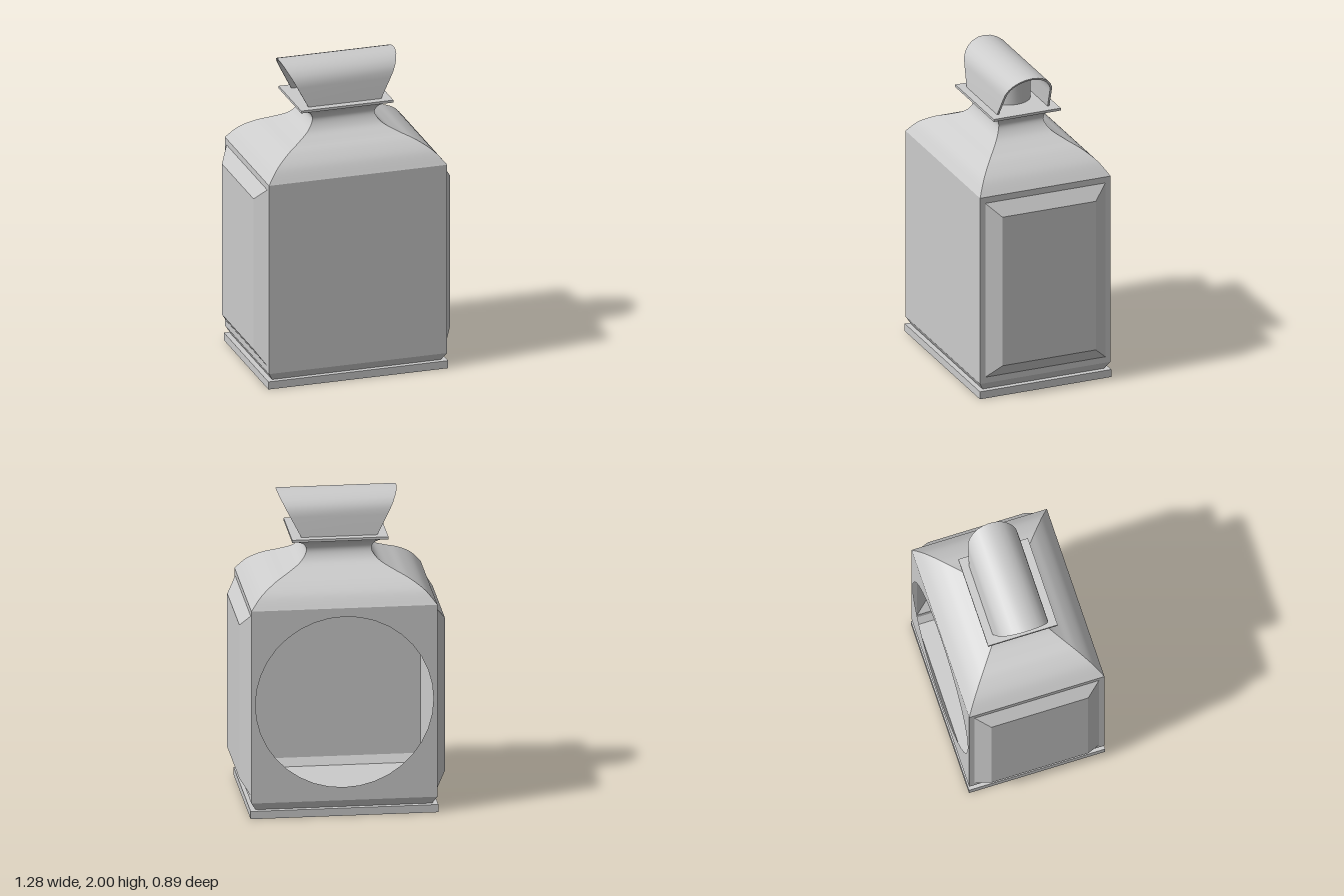
import * as THREE from 'three';
import { toCreasedNormals } from 'three/addons/utils/BufferGeometryUtils.js';

const material = new THREE.MeshStandardMaterial({ color: 0xcccccc, side: THREE.DoubleSide });

function add(parent, name, geometry, x = 0, y = 0, z = 0) {
  const mesh = new THREE.Mesh(geometry, material);
  mesh.name = name;
  mesh.position.set(x, y, z);
  parent.add(mesh);
  return mesh;
}

// Four mitred walls through rectangular sections [halfX, y, halfZ]; smooth upwards, sharp at corners
function shell(sections) {
  const corners = [[-1, 1], [1, 1], [1, -1], [-1, -1]];
  const positions = [], index = [];
  for (let s = 0; s < 4; s++) {
    const a = corners[s], b = corners[(s + 1) % 4], start = positions.length / 3;
    sections.forEach(([hx, y, hz], j) => {
      positions.push(a[0] * hx, y, a[1] * hz, b[0] * hx, y, b[1] * hz);
      if (j === 0) return;
      const k = start + 2 * (j - 1);
      index.push(k, k + 1, k + 3, k, k + 3, k + 2);
    });
  }
  const geometry = new THREE.BufferGeometry();
  geometry.setAttribute('position', new THREE.Float32BufferAttribute(positions, 3));
  geometry.setIndex(index);
  geometry.computeVertexNormals();
  return geometry;
}

const bodyZ = (x) => 0.44 + 0.768 * (x - 0.58);

function rectangle(Type, hx, y0, y1) {
  const p = new Type();
  p.moveTo(-hx, y0);
  p.lineTo(hx, y0);
  p.lineTo(hx, y1);
  p.lineTo(-hx, y1);
  p.closePath();
  return p;
}

// Arched strap in the z-y plane, flaring along x towards its crown
function handleGeometry() {
  const outer = [], inner = [];
  const arch = (list, leg, rx, ry) => {
    list.push(new THREE.Vector2(leg, 1.73));
    for (let i = 0; i <= 12; i++) {
      const t = (Math.PI * i) / 12;
      list.push(new THREE.Vector2(rx * Math.cos(t), 1.86 + ry * Math.sin(t)));
    }
    list.push(new THREE.Vector2(-leg, 1.73));
  };
  arch(outer, 0.177, 0.163, 0.14);
  arch(inner, 0.164, 0.15, 0.127);
  const shape = new THREE.Shape([...outer, ...inner.reverse()]);
  const geometry = new THREE.ExtrudeGeometry(shape, { depth: 2, bevelEnabled: false });
  geometry.translate(0, 0, -1);
  geometry.rotateY(Math.PI / 2);
  const p = geometry.attributes.position;
  for (let i = 0; i < p.count; i++) {
    p.setX(i, p.getX(i) * (0.235 + 0.52 * (p.getY(i) - 1.73)));
  }
  return toCreasedNormals(geometry, 0.7);
}

export function createModel() {
  const model = new THREE.Group();
  model.name = 'lantern';

  // Base plate and chamfered foot
  add(model, 'basePlate', new THREE.BoxGeometry(1.17, 0.05, 0.886), 0, 0.025);
  add(model, 'foot', shell([[0.55, 0.05, 0.41], [0.58, 0.1, 0.44]]));

  // Front wall, and back wall with its round opening
  const wall = rectangle(THREE.Shape, 0.58, 0.1, 1.35);
  add(model, 'frontWall', new THREE.ShapeGeometry(wall), 0, 0, 0.44);
  const openWall = rectangle(THREE.Shape, 0.58, 0.1, 1.35);
  openWall.holes.push(new THREE.Path().absarc(0, 0.74, 0.555, 0, Math.PI * 2, true));
  add(model, 'backWall', new THREE.ShapeGeometry(openWall, 18), 0, 0, -0.44).rotation.y = Math.PI;

  // Side walls, open into raised bevelled panels
  for (const side of [1, -1]) {
    const name = side > 0 ? 'left' : 'right';
    const frame = rectangle(THREE.Shape, 0.44, 0.1, 1.35);
    frame.holes.push(rectangle(THREE.Path, 0.405, 0.14, 1.31));
    add(model, name + 'Wall', new THREE.ShapeGeometry(frame), side * 0.58).rotation.y = side * Math.PI / 2;

    const panel = new THREE.Group();
    panel.name = name + 'Panel';
    panel.position.set(side * 0.58, 0.725, 0);
    panel.rotation.z = -side * Math.PI / 2;
    add(panel, 'panelBevel', shell([[0.585, 0, 0.405], [0.5, 0.06, 0.315]]));
    add(panel, 'panelFace', new THREE.PlaneGeometry(1, 0.63).rotateX(-Math.PI / 2), 0, 0.06);
    model.add(panel);
  }

  // Shoulder sweeping into the neck and flared lip
  const profile = new THREE.SplineCurve([
    [0.58, 1.35], [0.51, 1.43], [0.42, 1.49], [0.33, 1.53], [0.245, 1.575],
    [0.203, 1.635], [0.222, 1.685], [0.285, 1.72],
  ].map(([x, y]) => new THREE.Vector2(x, y)));
  add(model, 'shoulder', shell(profile.getPoints(40).map((p) => [p.x, p.y, bodyZ(p.x)])));

  // Top plate, vent cap and carrying handle
  add(model, 'topPlate', new THREE.BoxGeometry(0.6, 0.016, 0.452), 0, 1.726);
  const cap = [[0.14, 1.73], [0.14, 1.88], [0.075, 1.945], [0, 1.945]];
  const capGeometry = new THREE.LatheGeometry(cap.map(([r, y]) => new THREE.Vector2(r, y)), 24);
  add(model, 'ventCap', toCreasedNormals(capGeometry, 0.5));
  add(model, 'handle', handleGeometry());

  return model;
}
